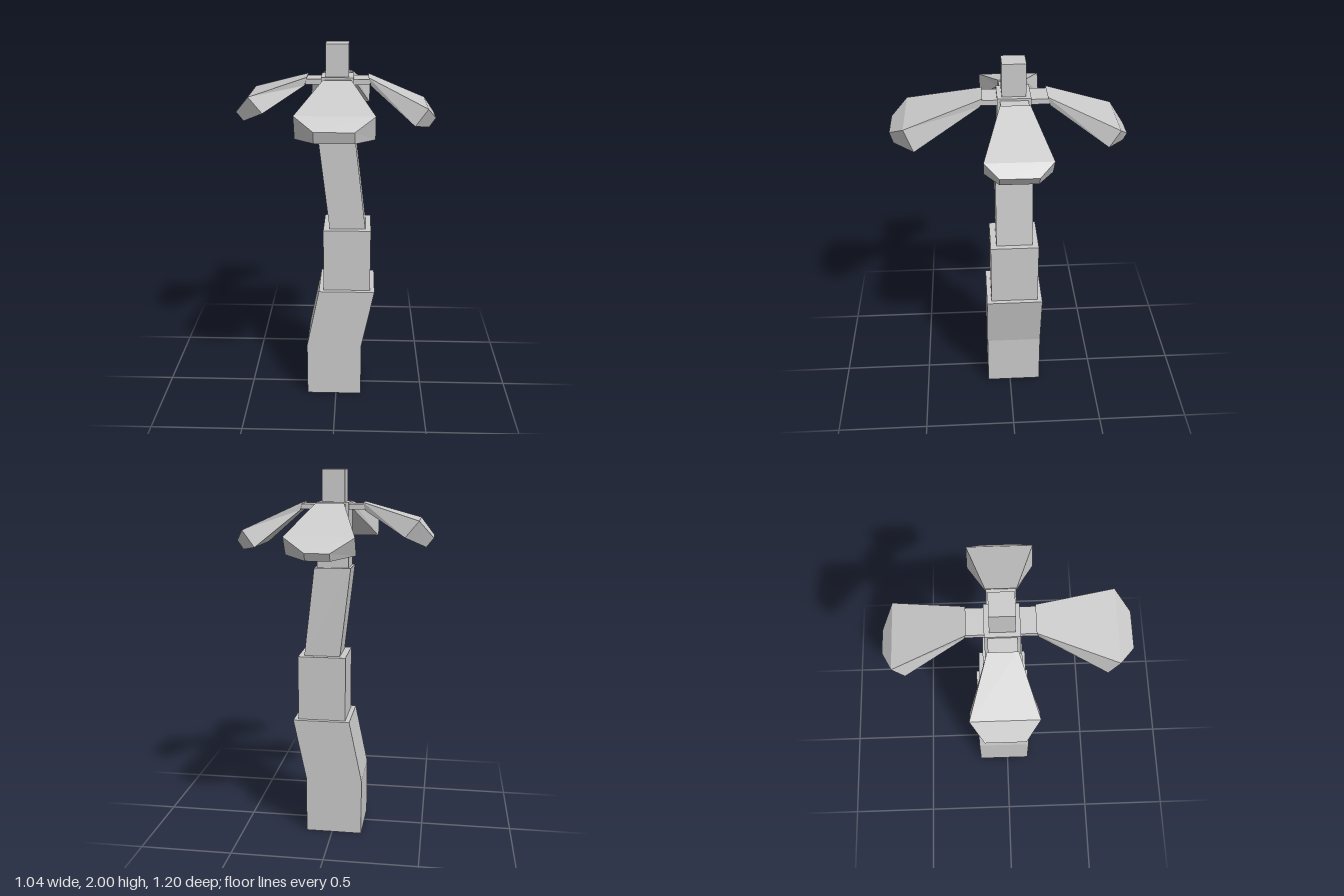
import * as THREE from 'three';

const material = new THREE.MeshStandardMaterial({ color: 0xcccccc, flatShading: true });
const CX = 0.007, CZ = -0.022; // axis of the crown

// Closed solid through four-cornered sections (corners counter-clockwise seen from the far end)
function loft(name, rings) {
  const pos = [];
  const quad = (a, b, c, d) => pos.push(...a, ...b, ...c, ...a, ...c, ...d);
  for (let r = 0; r < rings.length - 1; r++) {
    const p = rings[r], q = rings[r + 1];
    for (let i = 0; i < 4; i++) {
      const j = (i + 1) % 4;
      quad(p[i], p[j], q[j], q[i]);
    }
  }
  quad(...[...rings[0]].reverse());
  quad(...rings[rings.length - 1]);
  const geometry = new THREE.BufferGeometry();
  geometry.setAttribute('position', new THREE.Float32BufferAttribute(pos, 3));
  geometry.computeVertexNormals();
  const mesh = new THREE.Mesh(geometry, material);
  mesh.name = name;
  return mesh;
}

// Square trunk section, half-width h, centred on x at height y
const square = (x, y, h) => [[1, 1], [1, -1], [-1, -1], [-1, 1]]
  .map(([sx, sz]) => [x + sx * h, y, CZ + sz * h]);

// Upright leaf section: top edge, bottom edge and half-width
const blade = (tx, ty, bx, by, h) => [[tx, ty, -h], [tx, ty, h], [bx, by, h], [bx, by, -h]];

export function createModel() {
  const model = new THREE.Group();
  model.name = 'palmTree';

  // Stacked trunk blocks, each a list of [x, y, half-width]
  const trunk = {
    trunkBase: [[-0.01, 0, 0.155], [-0.01, 0.315, 0.155], [0.06, 0.655, 0.155]],
    trunkMiddle: [[0.06, 0.655, 0.13], [0.06, 1.01, 0.13]],
    trunkUpper: [[0.062, 1.01, 0.098], [0.005, 1.49, 0.098]],
    trunkNeck: [[0.005, 1.49, 0.084], [0.005, 1.833, 0.084]],
    trunkTip: [[0.004, 1.833, 0.06], [0.004, 2, 0.06]],
  };
  for (const [name, sections] of Object.entries(trunk)) {
    model.add(loft(name, sections.map((s) => square(...s))));
  }

  // Leaves: root, widest section, blunt tip; each turned about the crown
  const leaves = [
    { name: 'leftLeaf', turn: 0, root: [0.165, 0.074],
      wide: [0.465, 1.69, 0.4, 1.6, 0.165], tip: [0.511, 1.63, 0.478, 1.582, 0.093] },
    { name: 'rightLeaf', turn: Math.PI, root: [0.165, 0.072],
      wide: [0.455, 1.745, 0.385, 1.66, 0.161], tip: [0.53, 1.655, 0.492, 1.607, 0.095] },
    { name: 'frontLeaf', turn: -Math.PI / 2, root: [0.162, 0.0725],
      wide: [0.543, 1.733, 0.498, 1.613, 0.192], tip: [0.62, 1.675, 0.603, 1.618, 0.095] },
    { name: 'backLeaf', turn: Math.PI / 2, root: [0.172, 0.0725],
      wide: [0.522, 1.69, 0.468, 1.6, 0.172], tip: [0.577, 1.62, 0.558, 1.582, 0.06] },
  ];
  for (const { name, turn, root, wide, tip } of leaves) {
    const leaf = new THREE.Group();
    leaf.name = name;
    leaf.position.set(CX, 0, CZ);
    leaf.rotation.y = turn;
    const [r, h] = root;
    leaf.add(loft('blade', [blade(r - 0.006, 1.832, r + 0.006, 1.79, h), blade(...wide), blade(...tip)]));
    // Short flat stalk joining the leaf to the neck
    leaf.add(loft('stalk', [blade(0.06, 1.822, 0.06, 1.795, h - 0.004), blade(r + 0.002, 1.822, r + 0.002, 1.795, h - 0.004)]));
    model.add(leaf);
  }
  return model;
}
